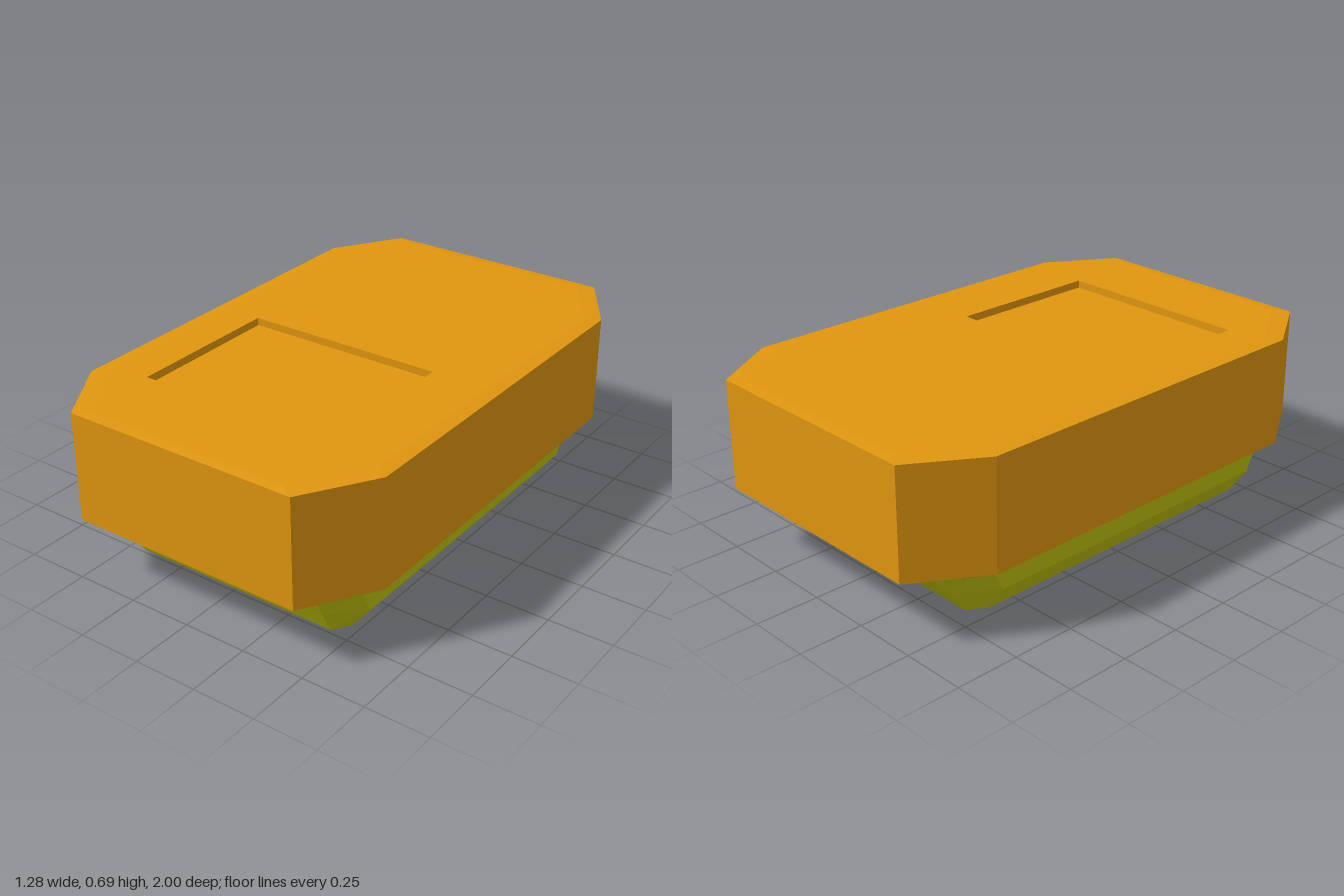
import * as THREE from 'three';

// Eight-sided ring: half width hx, corner start cx, front/back ends and their corner starts.
// hl lets the -x side have a different half width.
function ring(y, hx, cx, front, frontCorner, back = front, backCorner = frontCorner, hl = hx) {
  return [
    [-cx, front], [cx, front], [hx, frontCorner], [hx, -backCorner],
    [cx, -back], [-cx, -back], [-hl, -backCorner], [-hl, frontCorner],
  ].map(([x, z]) => new THREE.Vector3(x, y, z));
}

function rectRing(y, x0, x1, z0, z1) {
  return [[x0, z1], [x1, z1], [x1, z0], [x0, z0]].map(([x, z]) => new THREE.Vector3(x, y, z));
}

// Faceted skin through rings, with optional flat caps on the first and last ring.
function loft(rings, capFirst, capLast) {
  const pos = [];
  const tri = (a, b, c) => pos.push(...a.toArray(), ...b.toArray(), ...c.toArray());
  for (let r = 0; r < rings.length - 1; r++) {
    const lo = rings[r], hi = rings[r + 1], n = lo.length;
    for (let i = 0; i < n; i++) {
      const j = (i + 1) % n;
      tri(lo[i], lo[j], hi[j]);
      tri(lo[i], hi[j], hi[i]);
    }
  }
  const first = rings[0], last = rings[rings.length - 1];
  for (let i = 1; i < first.length - 1; i++) {
    if (capFirst) tri(first[0], first[i + 1], first[i]);
    if (capLast) tri(last[0], last[i], last[i + 1]);
  }
  const g = new THREE.BufferGeometry();
  g.setAttribute('position', new THREE.Float32BufferAttribute(pos, 3));
  g.computeVertexNormals();
  return g;
}

export function createModel() {
  const model = new THREE.Group();
  model.name = 'chamferedBlock';
  const orange = new THREE.MeshStandardMaterial({ color: 0xe0960f, flatShading: true });
  const yellow = new THREE.MeshStandardMaterial({ color: 0xbfc00c, flatShading: true });
  const add = (name, geometry, material, parent = model) => {
    const mesh = new THREE.Mesh(geometry, material);
    mesh.name = name;
    parent.add(mesh);
  };

  // Upper body: sloped underside, upright walls, very slight bevel around the top
  const body = new THREE.Group();
  body.name = 'upperBody';
  model.add(body);
  const topRing = ring(0.685, 0.585, 0.41, 0.96, 0.69);
  add('bodyShell', loft([
    ring(0.19, 0.505, 0.455, 0.80, 0.745),
    ring(0.255, 0.64, 0.47, 1, 0.73),
    ring(0.681, 0.64, 0.47, 1, 0.73),
    topRing,
  ], true, false), orange, body);

  // Top panel with a rectangular opening
  const flat = (pts) => pts.map((p) => new THREE.Vector2(p.x, -p.z));
  const opening = [-0.44, 0.36, 0.03, 0.655];
  const rim = rectRing(0.685, ...opening);
  const shape = new THREE.Shape(flat(topRing));
  shape.holes.push(new THREE.Path(flat(rim)));
  const panel = new THREE.ShapeGeometry(shape);
  panel.rotateX(-Math.PI / 2).translate(0, 0.685, 0);
  add('topPanel', panel, orange, body);

  // Shallow recess below the opening
  add('recess', loft([rim, rectRing(0.655, ...opening)], false, true), orange, body);

  // Lower base: tapered ends, near-upright upper sides, sides tucked in below
  add('lowerBase', loft([
    ring(0, 0.445, 0.41, 0.70, 0.655, 0.65, 0.595),
    ring(0.01, 0.475, 0.43, 0.745, 0.68, 0.69, 0.62, 0.475),
    ring(0.11, 0.552, 0.435, 0.80, 0.69, 0.768, 0.615, 0.543),
    ring(0.225, 0.552, 0.44, 0.865, 0.74, 0.855, 0.68, 0.55),
  ], true, true), yellow);

  return model;
}
